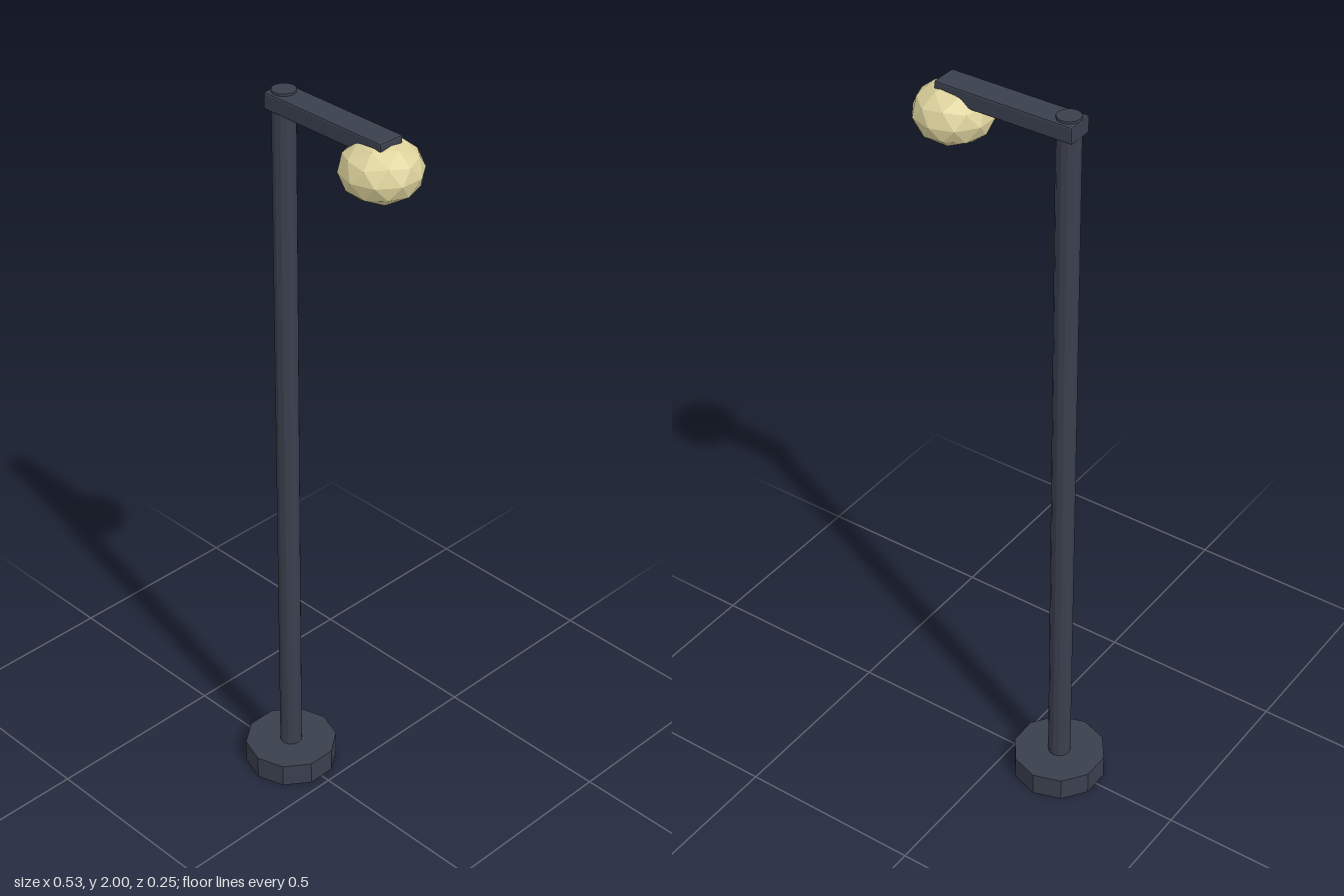
import * as THREE from 'three';
import { RoundedBoxGeometry } from 'three/addons/geometries/RoundedBoxGeometry.js';

export function createModel() {
  const model = new THREE.Group();
  model.name = 'streetLamp';

  const metal = new THREE.MeshStandardMaterial({ color: 0x3a3f4d, flatShading: true });
  metal.name = 'darkMetal';
  const glow = new THREE.MeshStandardMaterial({ color: 0xddd29c, flatShading: true });
  glow.name = 'paleYellow';

  const add = (name, geometry, material, x, y) => {
    const mesh = new THREE.Mesh(geometry, material);
    mesh.name = name;
    mesh.position.set(x, y, 0);
    model.add(mesh);
  };

  const poleX = -0.145;

  // Ten-sided foot and slender post
  add('base', new THREE.CylinderGeometry(0.124, 0.124, 0.065, 10), metal, poleX, 0.0325);
  add('pole', new THREE.CylinderGeometry(0.03, 0.03, 1.99, 12), metal, poleX, 1.005);

  // Horizontal arm with small chamfers
  add('arm', new RoundedBoxGeometry(0.374, 0.044, 0.071, 1, 0.005), metal, 0.011, 1.972);

  // Faceted globe with a vertex at each pole, squashed vertically
  const globe = new THREE.IcosahedronGeometry(0.1, 1);
  globe.rotateZ(-Math.atan(1 / ((1 + Math.sqrt(5)) / 2)));
  globe.scale(1, 0.75, 1);
  add('lampGlobe', globe, glow, 0.168, 1.911);

  return model;
}
